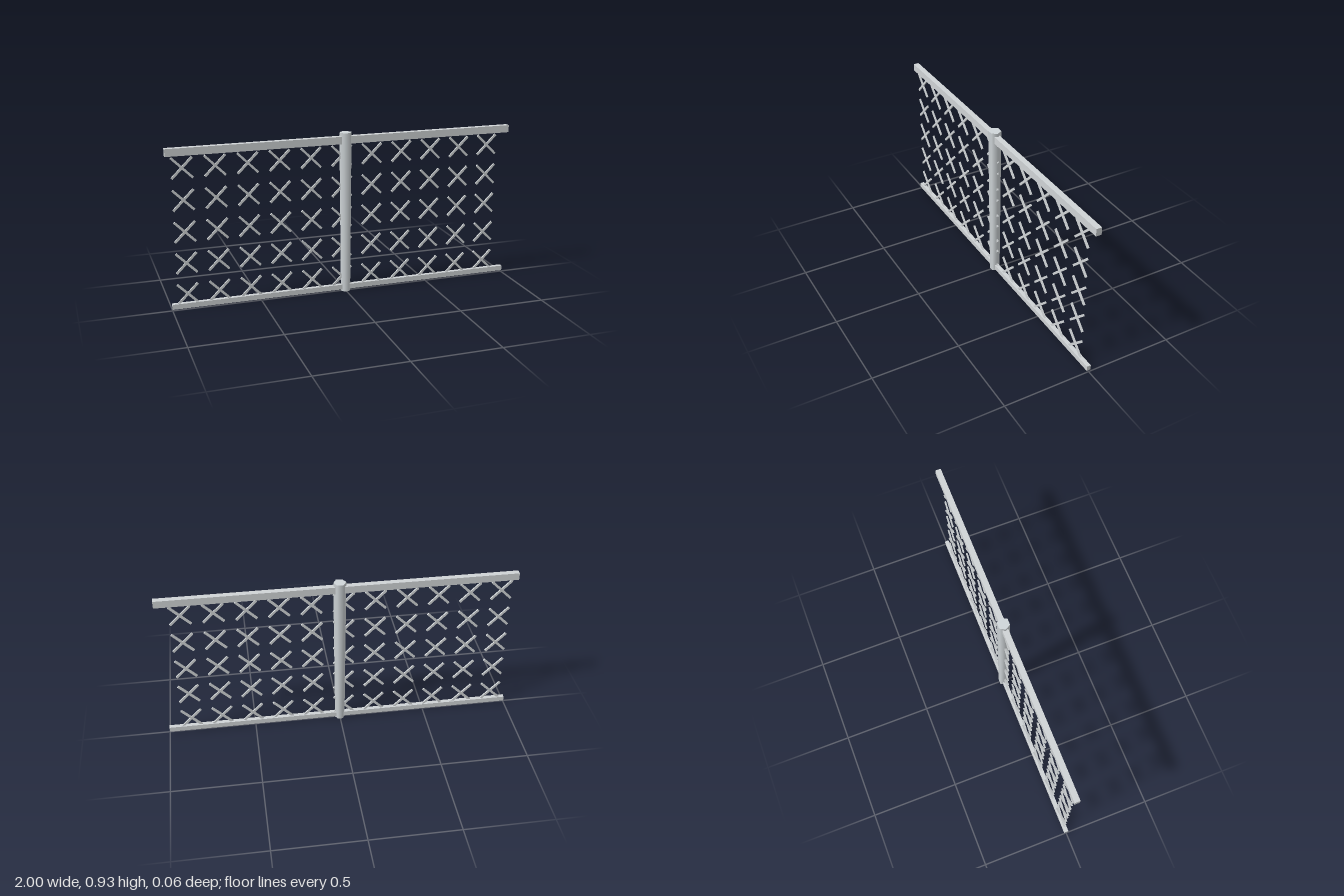
import * as THREE from 'three';

export function createModel() {
  const fence = new THREE.Group();
  fence.name = 'wireFence';

  const postSteel = new THREE.MeshStandardMaterial({ color: 0xd0d6d9 });
  postSteel.name = 'postSteel';
  const railSteel = new THREE.MeshStandardMaterial({ color: 0xd0d4d6 });
  railSteel.name = 'railSteel';

  const add = (name, geometry, material, x, y, parent = fence) => {
    const mesh = new THREE.Mesh(geometry, material);
    mesh.name = name;
    mesh.position.set(x, y, 0);
    parent.add(mesh);
    return mesh;
  };

  // Six-sided post, wider at the top, corners pointing along the rails
  const postHeight = 0.933;
  const post = new THREE.CylinderGeometry(0.0355, 0.0285, postHeight, 6);
  post.rotateY(Math.PI / 6);
  add('post', post, postSteel, 0, postHeight / 2);

  // Top and bottom rails
  add('topRail', new THREE.BoxGeometry(2, 0.042, 0.032), railSteel, 0, 0.891);
  add('bottomRail', new THREE.BoxGeometry(2, 0.029, 0.024), railSteel, 0, 0.025);

  // Grid of crossed wires
  const step = 0.1778;
  const wire = new THREE.BoxGeometry(0.16, 0.0125, 0.009);
  const mesh = new THREE.Group();
  mesh.name = 'wireMesh';
  fence.add(mesh);
  for (let row = 0; row < 5; row++) {
    for (let col = 0; col < 11; col++) {
      for (const side of [-1, 1]) {
        const bar = add('wire', wire, railSteel, -1 + (col + 0.5) * step, 0.091 + row * step, mesh);
        bar.rotation.z = side * Math.PI / 4;
      }
    }
  }
  return fence;
}
